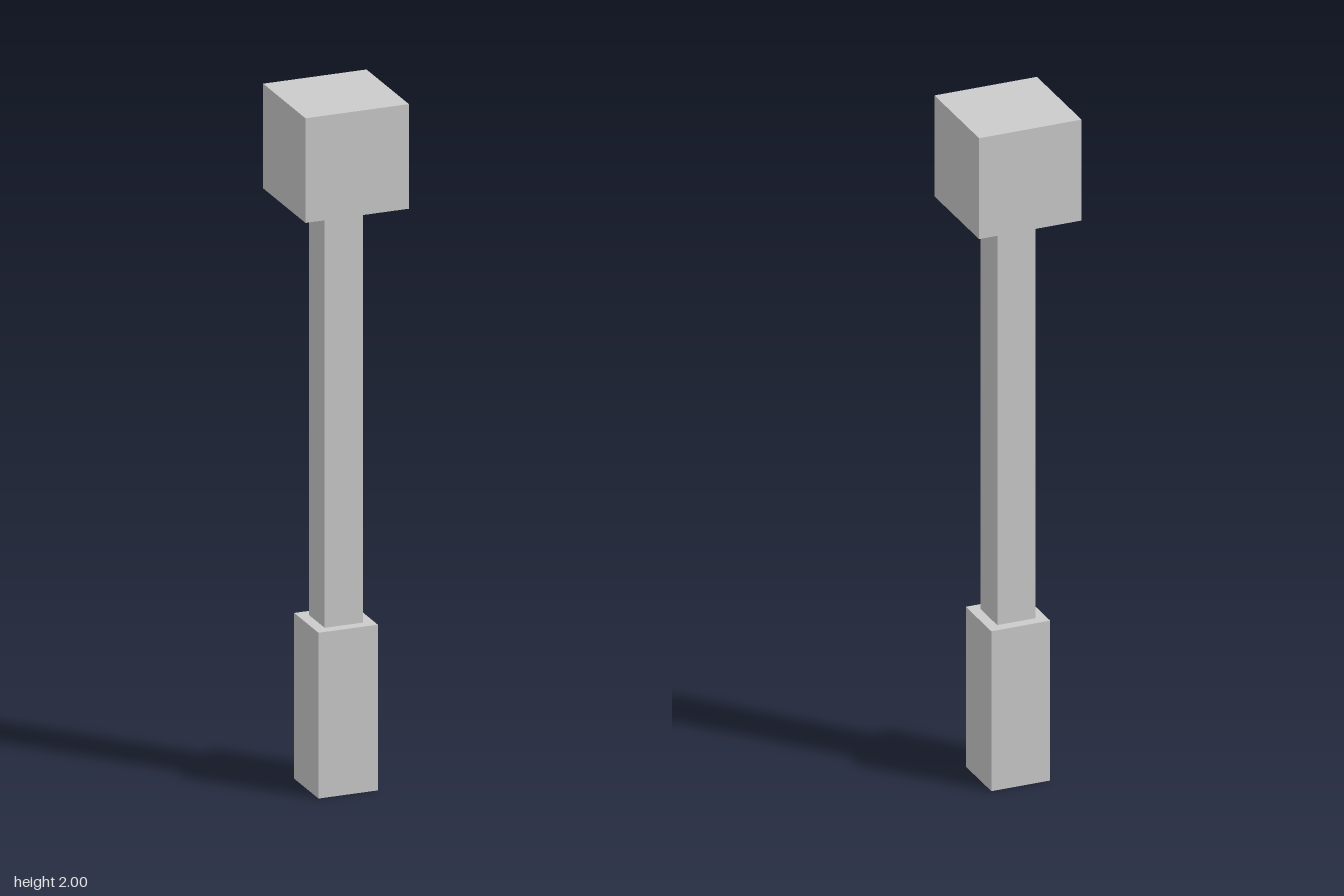
import * as THREE from 'three';

export function createModel() {
  const model = new THREE.Group();
  const material = new THREE.MeshStandardMaterial({ color: 0xcccccc, flatShading: true });

  // Square block spanning from one height to another
  function addBlock(name, width, bottom, top) {
    const block = new THREE.Mesh(new THREE.BoxGeometry(width, top - bottom, width), material);
    block.name = name;
    block.position.y = (bottom + top) / 2;
    model.add(block);
  }

  addBlock('base', 0.175, 0, 0.48);
  addBlock('shaft', 0.113, 0.48, 1.697);
  addBlock('head', 0.305, 1.697, 2);

  return model;
}
